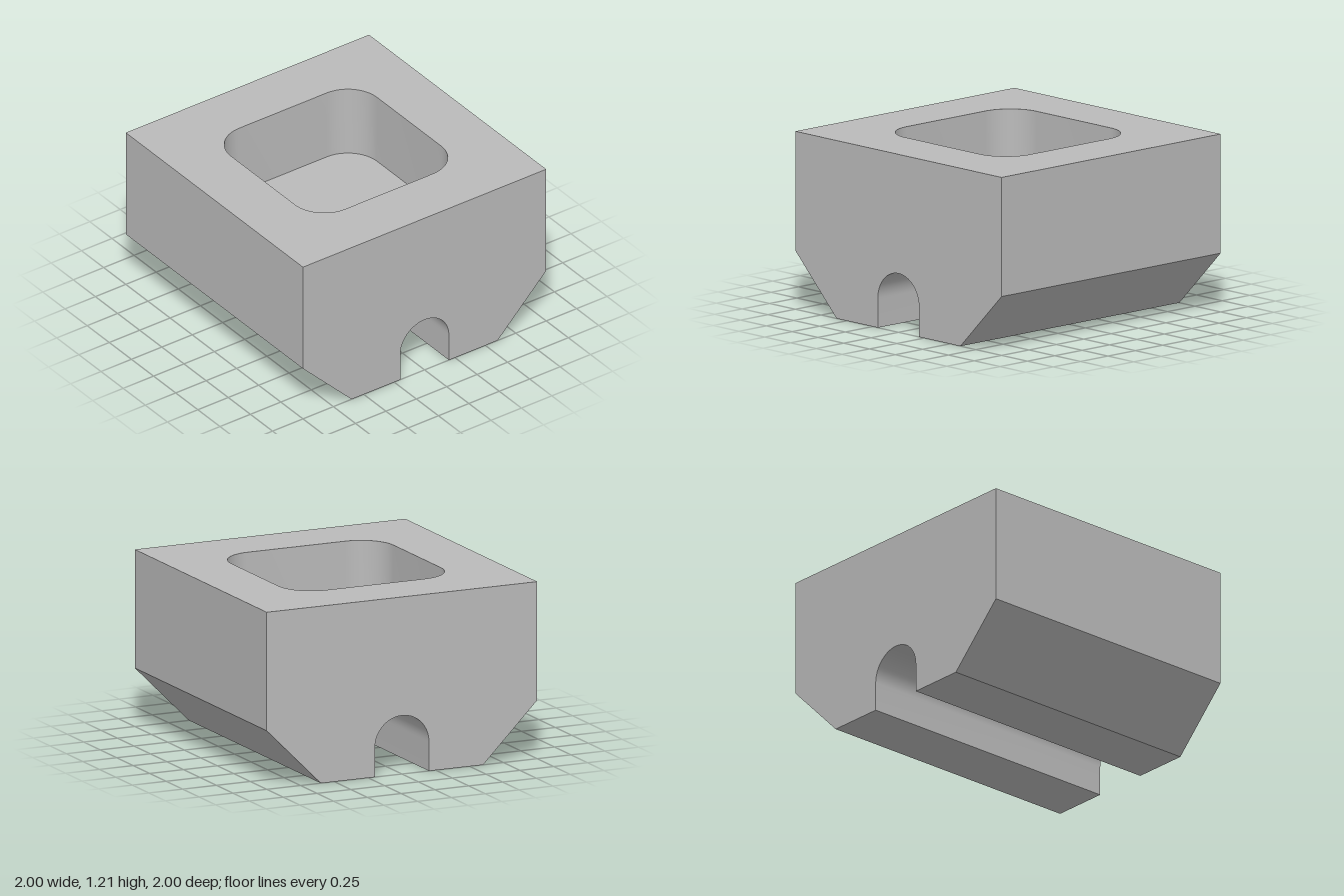
import * as THREE from 'three';
import { toCreasedNormals } from 'three/addons/utils/BufferGeometryUtils.js';

const TOP = 1.21;        // height of the block
const FLOOR = 0.7;       // height of the pocket floor
const POCKET = 0.6;      // half width of the pocket
const RADIUS = 0.24;     // pocket corner radius
const SLOT = 0.2;        // half width of the round-topped slot
const CHAMFER = 0.4;

// Ribbon of quads sweeping a 2D path from z0 to z1; smooth on arcs, sharp at corners
function wall(points, z0, z1) {
  const pos = [];
  for (let i = 0; i < points.length - 1; i++) {
    const p = points[i], q = points[i + 1];
    pos.push(p.x, p.y, z0, p.x, p.y, z1, q.x, q.y, z1);
    pos.push(p.x, p.y, z0, q.x, q.y, z1, q.x, q.y, z0);
  }
  const geo = new THREE.BufferGeometry();
  geo.setAttribute('position', new THREE.Float32BufferAttribute(pos, 3));
  return toCreasedNormals(geo, Math.PI / 6);
}

// Points of a counter-clockwise rounded square
function roundedSquare(half, r) {
  const pts = [], c = half - r, n = 16;
  [[1, 1], [-1, 1], [-1, -1], [1, -1]].forEach(([sx, sy], k) => {
    for (let i = 0; i <= n; i++) {
      const a = (k + i / n) * Math.PI / 2;
      pts.push(new THREE.Vector2(sx * c + r * Math.cos(a), sy * c + r * Math.sin(a)));
    }
  });
  return pts;
}

// Front outline: chamfered lower corners and a round-topped slot
function outline() {
  const v = (x, y) => new THREE.Vector2(x, y);
  const pts = [v(-1, TOP), v(-1, CHAMFER), v(-1 + CHAMFER, 0), v(-SLOT, 0)];
  for (let i = 0; i <= 32; i++) {
    const a = Math.PI * (1 - i / 32);
    pts.push(v(SLOT * Math.cos(a), SLOT + SLOT * Math.sin(a)));
  }
  pts.push(v(SLOT, 0), v(1 - CHAMFER, 0), v(1, CHAMFER), v(1, TOP));
  return pts;
}

export function createModel() {
  const group = new THREE.Group();
  const grey = new THREE.MeshStandardMaterial({ color: 0xbababa });
  grey.name = 'grey';

  const add = (name, geo, parent = group) => {
    const mesh = new THREE.Mesh(geo, grey);
    mesh.name = name;
    parent.add(mesh);
    return mesh;
  };

  // Sides, underside and slot
  const profile = outline();
  add('sidesAndSlot', wall(profile, 1, -1));

  // Front and back faces
  const face = new THREE.ShapeGeometry(new THREE.Shape(profile));
  add('frontFace', face).position.z = 1;
  const back = add('backFace', face);
  back.position.z = -1;
  back.rotation.y = Math.PI;

  // Top face and pocket, drawn flat and then laid down
  const upper = new THREE.Group();
  upper.name = 'topAndPocket';
  upper.rotation.x = -Math.PI / 2;
  group.add(upper);

  const rim = roundedSquare(POCKET, RADIUS);
  const top = new THREE.Shape([[-1, -1], [1, -1], [1, 1], [-1, 1]].map(([x, y]) => new THREE.Vector2(x, y)));
  top.holes.push(new THREE.Path(rim));
  add('topFace', new THREE.ShapeGeometry(top), upper).position.z = TOP;
  add('pocketWall', wall([...rim, rim[0]], FLOOR, TOP), upper);
  add('pocketFloor', new THREE.ShapeGeometry(new THREE.Shape(rim)), upper).position.z = FLOOR;

  return group;
}
